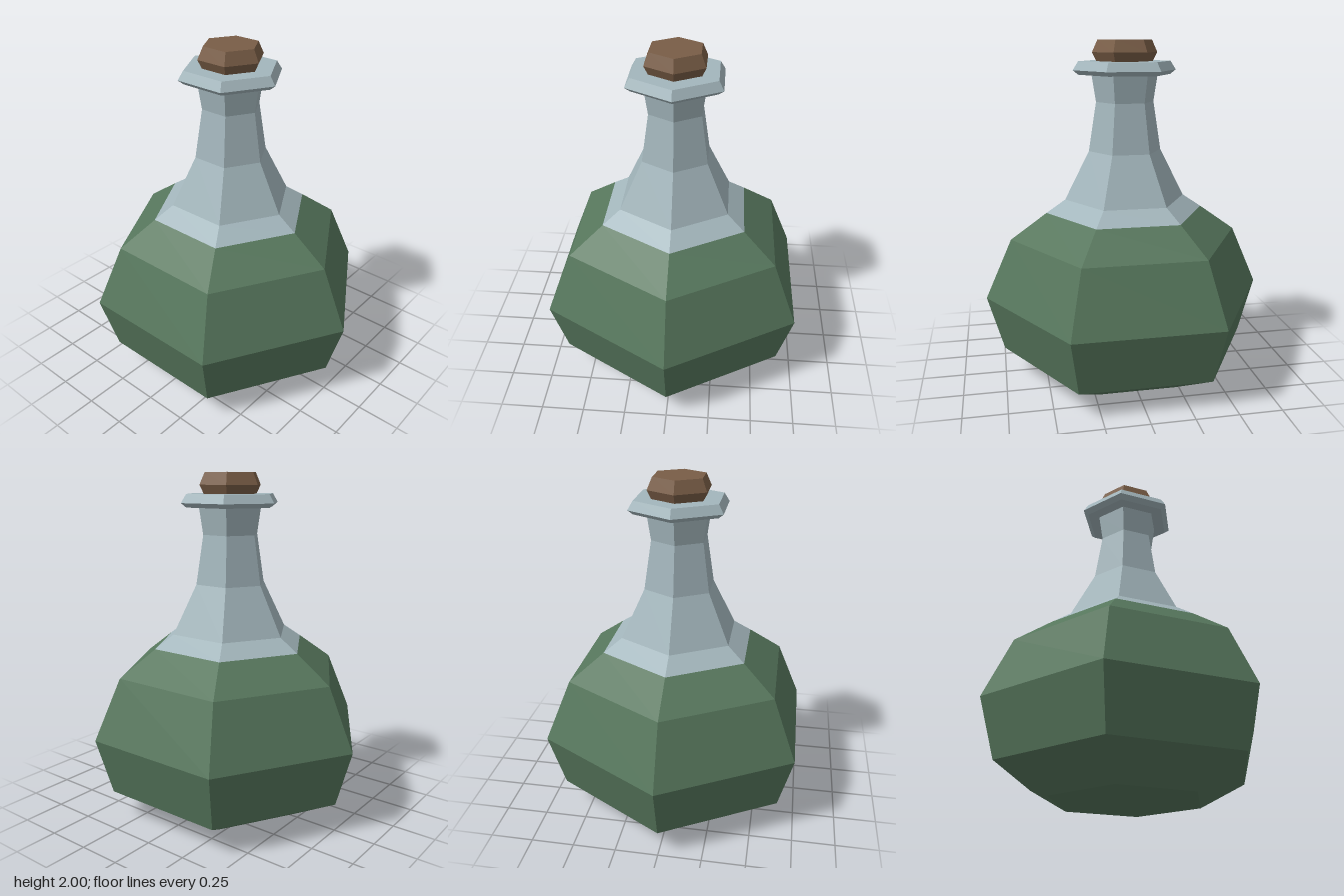
import * as THREE from 'three';

const material = (name, color) => {
  const m = new THREE.MeshStandardMaterial({ color, flatShading: true });
  m.name = name;
  return m;
};

// Six-sided turned part with corners on the z axis; profile is [radius, y] from bottom to top
function turned(name, mat, profile) {
  const points = profile.map(([r, y]) => new THREE.Vector2(r, y));
  const mesh = new THREE.Mesh(new THREE.LatheGeometry(points, 6), mat);
  mesh.name = name;
  return mesh;
}

export function createModel() {
  const liquid = material('green liquid', 0x56765c);
  const glass = material('pale glass', 0xa3b6bc);
  const cork = material('brown cork', 0x795d46);

  const bottle = new THREE.Group();
  bottle.name = 'bottle';
  bottle.add(
    // Filled belly, up to the liquid line
    turned('filledBody', liquid, [
      [0, 0], [0.45, 0], [0.75, 0.16], [0.845, 0.493], [0.687, 0.85], [0.473, 1.003],
    ]),
    // Empty shoulder and neck
    turned('neck', glass, [
      [0.473, 1.003], [0.36, 1.08], [0.215, 1.365], [0.17, 1.65], [0.195, 1.81],
    ]),
    // Bevelled rim
    turned('lip', glass, [
      [0.19, 1.805], [0.27, 1.805], [0.302, 1.83], [0.27, 1.88], [0, 1.88],
    ]),
    // Stopper
    turned('stopper', cork, [
      [0.165, 1.88], [0.19, 1.93], [0.158, 2], [0, 2],
    ]),
  );
  return bottle;
}
